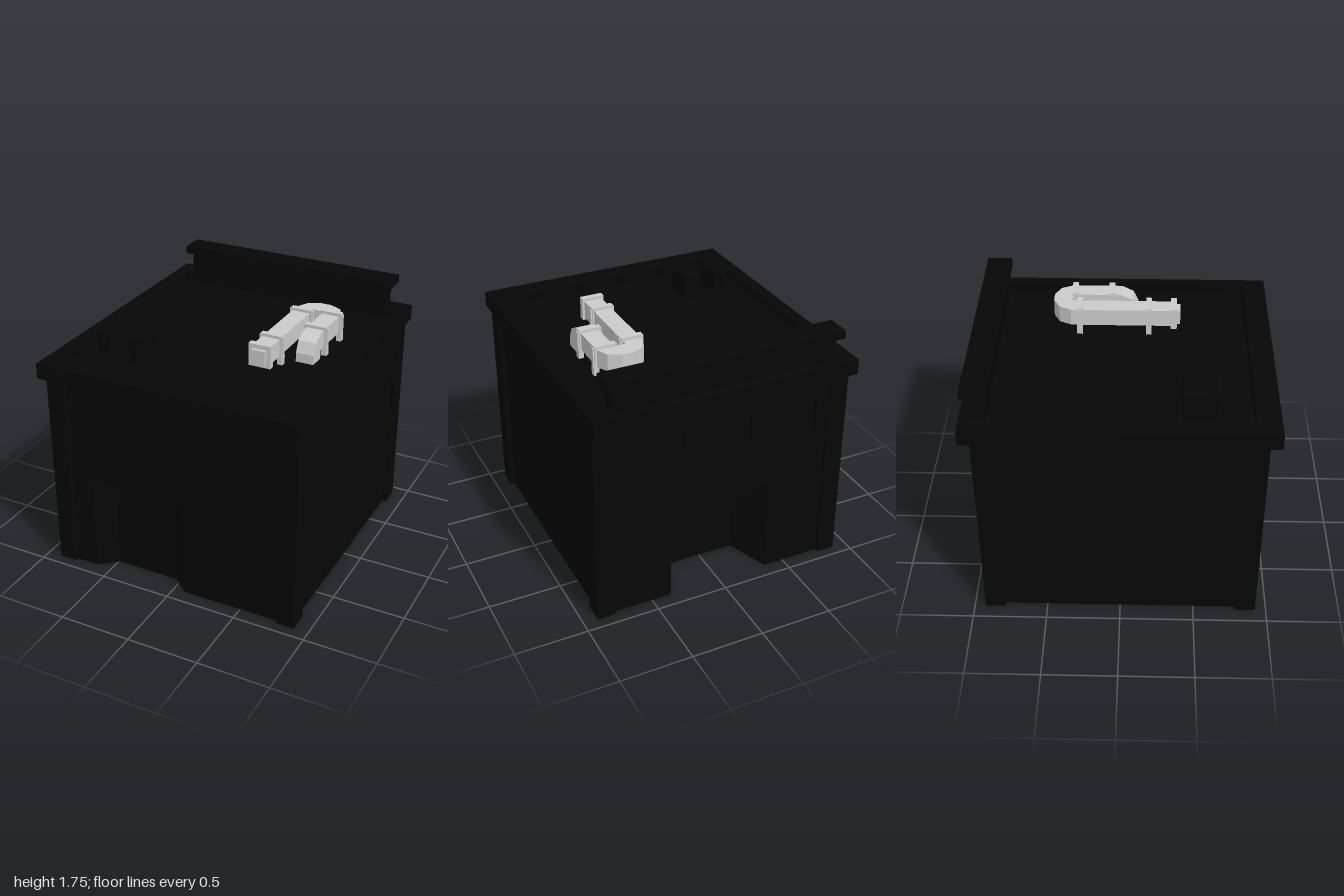
import * as THREE from 'three';

const dark = new THREE.MeshStandardMaterial({ color: 0x060606, flatShading: true, side: THREE.DoubleSide });
const metal = new THREE.MeshStandardMaterial({ color: 0xcccccc, flatShading: true });

function add(parent, name, geometry, material) {
  const mesh = new THREE.Mesh(geometry, material);
  mesh.name = name;
  parent.add(mesh);
  return mesh;
}

// Box given by its extents on each axis
function box(parent, name, [x0, x1], [y0, y1], [z0, z1], material = dark) {
  const mesh = add(parent, name, new THREE.BoxGeometry(x1 - x0, y1 - y0, z1 - z0), material);
  mesh.position.set((x0 + x1) / 2, (y0 + y1) / 2, (z0 + z1) / 2);
  return mesh;
}

function outline(points) {
  return new THREE.Shape(points.map(([x, y]) => new THREE.Vector2(x, y)));
}

const rect = (x0, x1, y0, y1) => [[x0, y0], [x1, y0], [x1, y1], [x0, y1]];

// Lining of an opening that tapers to a back panel; doorways have no floor
function recess(parent, name, outer, inner, depth, hasFloor) {
  const corners = [...rect(...outer).map(([x, y]) => [x, y, 0]), ...rect(...inner).map(([x, y]) => [x, y, -depth])];
  const quads = [[4, 5, 6, 7], [1, 2, 6, 5], [2, 3, 7, 6], [3, 0, 4, 7]];
  if (hasFloor) quads.push([0, 1, 5, 4]);
  const geometry = new THREE.BufferGeometry();
  geometry.setAttribute('position', new THREE.Float32BufferAttribute(corners.flat(), 3));
  geometry.setIndex(quads.flatMap(([a, b, c, d]) => [a, b, c, a, c, d]));
  geometry.computeVertexNormals();
  add(parent, name, geometry, dark);
}

// Flat wall facing +z with a doorway cut from its lower edge and window holes
function wall(name, halfWidth, door, windows = []) {
  const group = new THREE.Group();
  group.name = name;
  let points = rect(-halfWidth, halfWidth, 0, 1.45);
  if (door) {
    const { x0, x1, top, taper, depth } = door;
    points = [[-halfWidth, 0], [x0, 0], [x0, top], [x1, top], [x1, 0], ...points.slice(1)];
    recess(group, 'doorway', [x0, x1, 0, top], [x0 + taper, x1 - taper, 0, top], depth, false);
  }
  const shape = outline(points);
  for (const w of windows) {
    shape.holes.push(outline(rect(...w)));
    recess(group, 'window', w, w, 0.03, true);
  }
  add(group, 'wallPanel', new THREE.ShapeGeometry(shape), dark);
  return group;
}

// Square collar with a clamp band and two feet, around a duct centred on x
function collar(parent, x, z) {
  box(parent, 'ductCollar', [x - 0.075, x + 0.075], [1.515, 1.67], [z - 0.02, z + 0.02], metal);
  box(parent, 'ductBand', [x - 0.085, x + 0.085], [1.53, 1.66], [z - 0.011, z + 0.011], metal);
  for (const s of [-1, 1]) {
    const fx = x + s * 0.065;
    box(parent, 'ductFoot', [fx - 0.018, fx + 0.018], [1.47, 1.53], [z - 0.02, z + 0.02], metal);
  }
}

export function createModel() {
  const model = new THREE.Group();

  // Walls, open underneath
  const front = wall('frontWall', 0.87, { x0: -0.61, x1: 0.08, top: 0.68, taper: 0.12, depth: 0.1 });
  front.position.z = 0.9;
  const windows = [-0.48, 0, 0.48].map((x) => [x - 0.21, x + 0.21, 0.95, 1.27]);
  const back = wall('backWall', 0.87, { x0: -0.36, x1: 0.36, top: 0.67, taper: 0.11, depth: 0.3 }, windows);
  back.rotation.y = Math.PI;
  back.position.z = -0.9;
  model.add(front, back);
  for (const s of [-1, 1]) {
    const side = wall('sideWall', 0.9);
    side.rotation.y = s * Math.PI / 2;
    side.position.x = s * 0.87;
    model.add(side);
  }

  // Corner posts
  for (const sx of [-1, 1]) {
    for (const sz of [-1, 1]) {
      const post = box(model, 'cornerPost', [-0.065, 0.065], [0, 1.43], [-0.07, 0.07]);
      post.position.x = sx * 0.835;
      post.position.z = sz * 0.855;
    }
  }

  // Roof deck and overhanging rim
  box(model, 'roofDeck', [-0.85, 0.85], [1.45, 1.47], [-0.86, 0.86]);
  const rim = outline(rect(-0.915, 0.915, -1, 1));
  rim.holes.push(outline(rect(-0.83, 0.83, -0.84, 0.84)));
  const rimGeometry = new THREE.ExtrudeGeometry(rim, { depth: 0.105, bevelEnabled: false });
  rimGeometry.rotateX(-Math.PI / 2);
  add(model, 'roofRim', rimGeometry, dark).position.y = 1.43;

  // Raised parapet at the back
  box(model, 'parapet', [-0.77, 0.77], [1.47, 1.7], [-0.94, -0.84]);
  box(model, 'parapetCap', [-0.81, 0.81], [1.7, 1.755], [-0.98, -0.81]);

  // Two dark roof vents
  for (const x of [-0.645, -0.415]) box(model, 'roofVent', [x - 0.045, x + 0.045], [1.47, 1.645], [0.385, 0.61]);

  // Air duct: two straight runs joined by a U bend
  const duct = new THREE.Group();
  duct.name = 'airDuct';
  model.add(duct);
  box(duct, 'longDuct', [0.3, 0.425], [1.53, 1.65], [-0.365, 0.34], metal);
  box(duct, 'shortDuct', [0.5, 0.625], [1.53, 1.65], [-0.365, -0.02], metal);
  const bend = outline([[0.3, 0.36], [0.625, 0.36], [0.585, 0.445], [0.5, 0.487], [0.425, 0.487], [0.343, 0.445]]);
  const bendGeometry = new THREE.ExtrudeGeometry(bend, { depth: 0.12, bevelEnabled: false });
  bendGeometry.rotateX(-Math.PI / 2);
  add(duct, 'ductBend', bendGeometry, metal).position.y = 1.53;

  // Elbow turning down into the roof (profile in z and y)
  const elbow = outline([[-0.02, 1.47], [0.095, 1.47], [0.095, 1.535], [0.06, 1.61], [-0.02, 1.65]]);
  const elbowGeometry = new THREE.ExtrudeGeometry(elbow, { depth: 0.125, bevelEnabled: false });
  elbowGeometry.rotateY(-Math.PI / 2);
  add(duct, 'ductElbow', elbowGeometry, metal).position.x = 0.625;

  // Collars and the framed outlet
  for (const [x, z] of [[0.3625, 0.17], [0.3625, -0.305], [0.5625, -0.345], [0.5625, -0.09]]) collar(duct, x, z);
  box(duct, 'outletFrame', [0.285, 0.44], [1.515, 1.67], [0.32, 0.362], metal);
  box(duct, 'outlet', [0.313, 0.412], [1.54, 1.64], [0.36, 0.385], metal);
  return model;
}
